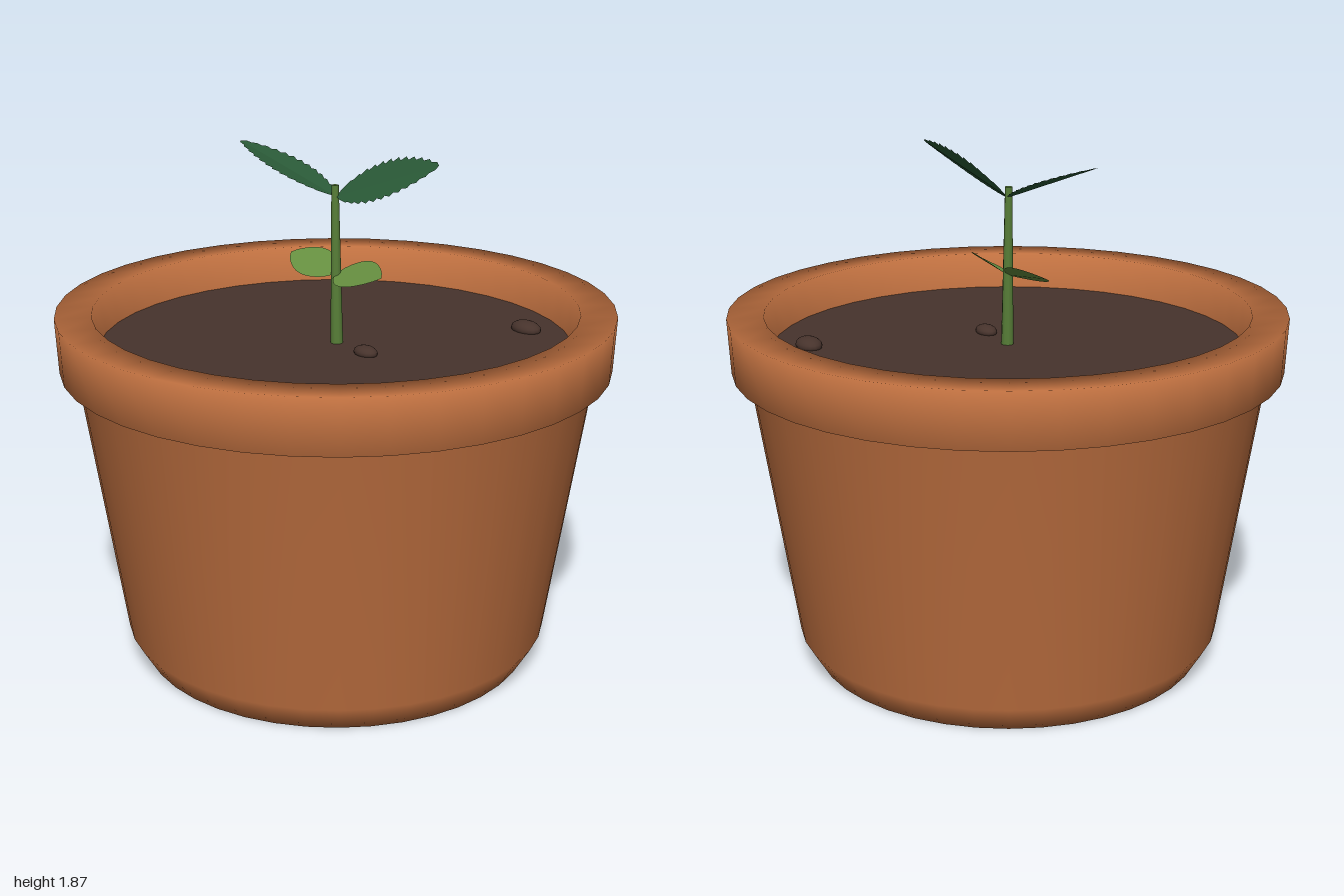
import * as THREE from 'three';

const V = (x, y, z) => new THREE.Vector3(x, y, z);
const paint = (name, color, extra = {}) => {
  const m = new THREE.MeshStandardMaterial({ color, ...extra });
  m.name = name;
  return m;
};

// Folded leaf: two strips along a midrib, with optional saw teeth on the edge
function leafGeometry({ base, dir, side, half, fold, teeth }) {
  const rows = teeth ? teeth * 2 : 14;
  const w = side.clone().normalize();
  const up = new THREE.Vector3().crossVectors(w, dir).normalize();
  if (up.y < 0) up.negate();
  const pos = [];
  const point = (t, s, spread) => base.clone()
    .addScaledVector(dir, t)
    .addScaledVector(w, s * spread)
    .addScaledVector(up, fold * spread);
  const spread = (i) => {
    const t = i / rows;
    const body = half * Math.pow(Math.sin(Math.PI * Math.pow(t, 0.9)), 0.75);
    return teeth && i % 2 === 0 && i > 0 && i < rows ? body * 0.84 : body;
  };
  for (const s of [-1, 1]) {
    for (let i = 0; i < rows; i++) {
      const t0 = i / rows, t1 = (i + 1) / rows;
      // teeth lean towards the tip
      const e0 = teeth && i % 2 ? t0 + 0.4 / rows : t0;
      const e1 = teeth && (i + 1) % 2 ? t1 + 0.4 / rows : t1;
      const a = point(t0, s, 0), b = point(t1, s, 0);
      const c = point(Math.min(e1, 1), s, Math.max(spread(i + 1), 0));
      const d = point(e0, s, Math.max(spread(i), 0));
      const quad = s > 0 ? [a, d, c, a, c, b] : [a, c, d, a, b, c];
      quad.forEach((p) => pos.push(p.x, p.y, p.z));
    }
  }
  const g = new THREE.BufferGeometry();
  g.setAttribute('position', new THREE.Float32BufferAttribute(pos, 3));
  g.computeVertexNormals();
  return g;
}

export function createModel() {
  const group = new THREE.Group();
  group.name = 'pottedSeedling';
  const clay = paint('terracotta', 0xbf7040);
  const earth = paint('soil brown', 0x47332c);
  const stemGreen = paint('stem green', 0x587f38);
  const lightGreen = paint('light leaf green', 0x668f40, { side: THREE.DoubleSide });
  const darkGreen = paint('dark leaf green', 0x2a5a37, { side: THREE.DoubleSide });
  const add = (name, geometry, material) => {
    const mesh = new THREE.Mesh(geometry, material);
    mesh.name = name;
    group.add(mesh);
    return mesh;
  };

  // Pot: foot, tapered wall, overhanging rim and inner wall
  const profile = [
    [0, 0], [0.72, 0], [0.78, 0.1], [0.93, 1.09], [0.99, 1.1],
    [1, 1.3], [0.87, 1.3], [0.845, 1.12],
  ].map(([r, y]) => new THREE.Vector2(r, y));
  add('pot', new THREE.LatheGeometry(profile, 40), clay);

  // Soil surface and pebbles
  const soil = add('soil', new THREE.CircleGeometry(0.853, 40), earth);
  soil.rotation.x = -Math.PI / 2;
  soil.position.y = 1.165;
  for (const [x, z, r] of [[0.3, -0.65, 0.065], [0.175, 0, 0.052]]) {
    const pebble = add('pebble', new THREE.SphereGeometry(r, 16, 10), earth);
    pebble.scale.set(1, 0.45, 0.7);
    pebble.position.set(x, 1.172, z);
  }

  // Stem, leaning very slightly
  const stem = add('stem', new THREE.CylinderGeometry(0.013, 0.023, 0.6, 10), stemGreen);
  stem.position.y = 1.44;
  stem.rotation.z = 0.018;

  // Round lower leaves
  add('lowerLeafLeft', leafGeometry({
    base: V(0, 1.42, 0), dir: V(0.235, 0.03, -0.02), side: V(0, -0.5, 0.85),
    half: 0.073, fold: 0.12, teeth: 0,
  }), lightGreen);
  add('lowerLeafRight', leafGeometry({
    base: V(0, 1.42, 0), dir: V(-0.24, 0.035, 0.025), side: V(0.06, -0.45, 0.87),
    half: 0.073, fold: 0.12, teeth: 0,
  }), lightGreen);

  // Serrated upper leaves
  add('upperLeafLeft', leafGeometry({
    base: V(0, 1.7, 0), dir: V(0.385, 0.155, -0.145), side: V(0.487, -0.617, 0.617),
    half: 0.092, fold: 0.12, teeth: 13,
  }), darkGreen);
  add('upperLeafRight', leafGeometry({
    base: V(0, 1.7, 0), dir: V(-0.385, 0.155, 0.14), side: V(0.33, 0, 0.94),
    half: 0.092, fold: 0.12, teeth: 13,
  }), darkGreen);

  return group;
}
